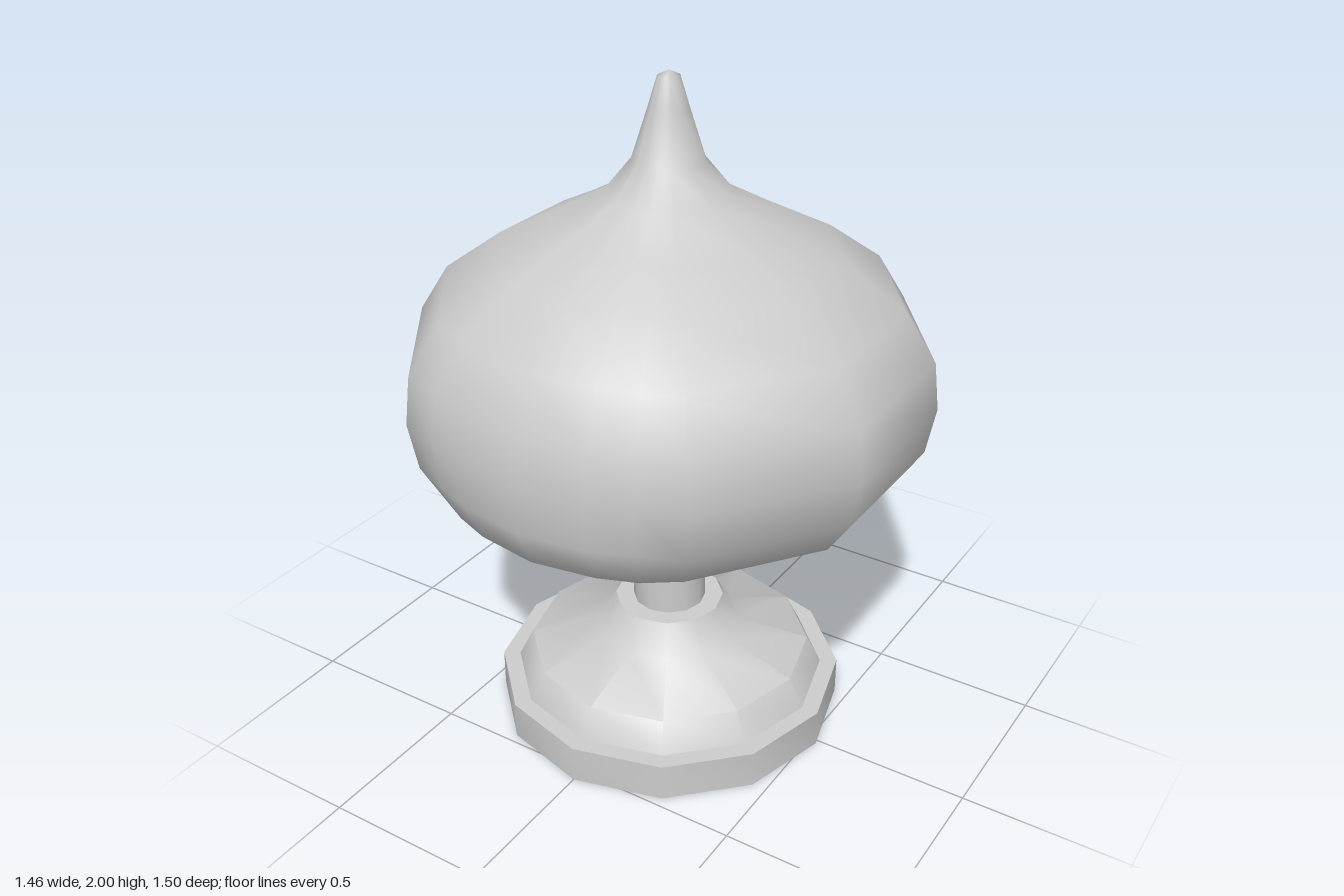
import * as THREE from 'three';
import { mergeVertices, toCreasedNormals } from 'three/addons/utils/BufferGeometryUtils.js';

const material = new THREE.MeshStandardMaterial({ color: 0xcccccc });
const CENTRE_Z = 0.014;
const toPoints = (list) => list.map(([r, y]) => new THREE.Vector2(r, y));

// Twelve-sided turned part with crisp steps
function turned(name, profile) {
  const lathe = new THREE.LatheGeometry(toPoints(profile), 12);
  const mesh = new THREE.Mesh(toCreasedNormals(lathe, 0.8), material);
  mesh.name = name;
  return mesh;
}

// Ten-sided smooth onion bulb whose front two sides are rounded into a soft patch
function onionBulb() {
  // radius at the corners, height, radius factor of the front patch (0 = outside the patch)
  const rows = [
    [0, 0.72, 0], [0.16, 0.722, 0], [0.32, 0.738, 0], [0.49, 0.772, 0.98],
    [0.662, 0.848, 1.02], [0.74, 0.96, 0.98], [0.766, 1.1, 0.953],
    [0.75, 1.24, 0.957], [0.662, 1.38, 0.963], [0.495, 1.5, 0],
    [0.335, 1.58, 0], [0.178, 1.665, 0], [0.105, 1.755, 0],
    [0.058, 1.9, 0], [0.032, 1.985, 0], [0, 2, 0],
  ];
  const degrees = [0, 16, 26, 36, 72, 108, 144, 180, 216, 252, 288, 324, 334, 344, 360];
  let geometry = new THREE.LatheGeometry(toPoints(rows), degrees.length - 1);
  const position = geometry.attributes.position;

  degrees.forEach((deg, column) => {
    const angle = THREE.MathUtils.degToRad(deg);
    const fromFront = Math.min(deg, 360 - deg);
    rows.forEach(([radius, y, patch], row) => {
      let r = radius;
      if (fromFront < 36) {
        // straight chord between corners, or the rounded patch
        const half = Math.PI / 10;
        const chord = Math.cos(half) / Math.cos(THREE.MathUtils.degToRad(fromFront) - half);
        r *= fromFront === 0 ? patch || 1 : Math.max(chord, patch * 0.995);
      }
      position.setXYZ(column * rows.length + row, r * Math.sin(angle), y, r * Math.cos(angle));
    });
  });

  geometry.deleteAttribute('normal');
  geometry.deleteAttribute('uv');
  geometry = mergeVertices(geometry, 1e-4);
  geometry.computeVertexNormals();
  const mesh = new THREE.Mesh(geometry, material);
  mesh.name = 'onionBulb';
  return mesh;
}

export function createModel() {
  const model = new THREE.Group();
  model.name = 'onionFinial';

  // Stepped foot
  model.add(turned('foot', [
    [0, 0], [0.527, 0], [0.527, 0.115], [0.475, 0.115],
    [0.43, 0.203], [0.22, 0.27], [0.165, 0.36], [0, 0.36],
  ]));
  // Slim neck
  model.add(turned('neck', [[0.11, 0.35], [0.11, 0.52]]));
  // Flared collar with a ring
  model.add(turned('collar', [
    [0, 0.508], [0.152, 0.508], [0.192, 0.595], [0.242, 0.595],
    [0.242, 0.652], [0.19, 0.652], [0.145, 0.73],
  ]));
  model.add(onionBulb());

  model.children.forEach((part) => { part.position.z = CENTRE_Z; });
  return model;
}
